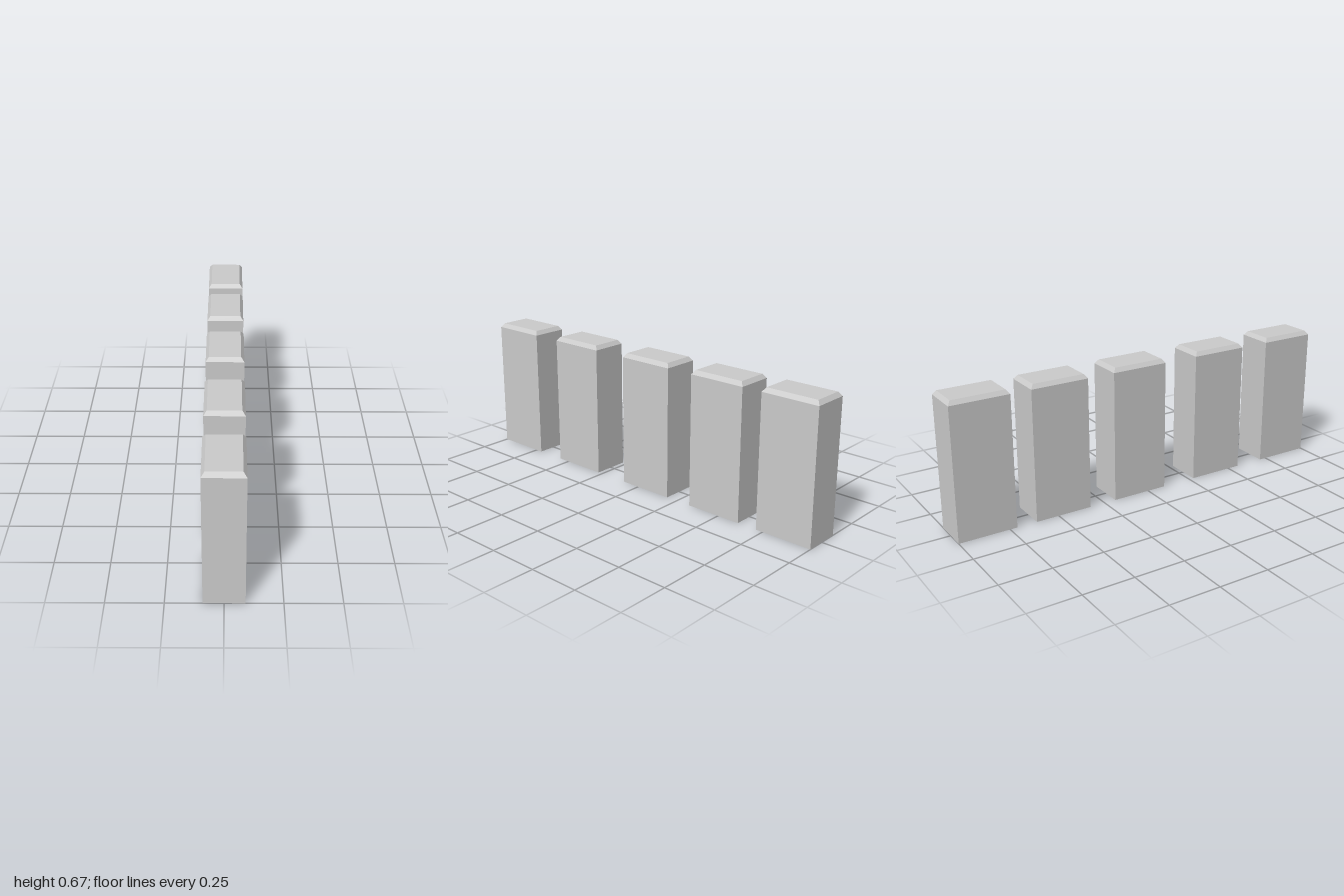
import * as THREE from 'three';

const WIDTH = 0.18, DEPTH = 0.286, EAVES = 0.646, TOP = 0.666, INSET = 0.015;
const ROWS = 12, ROW_STEP = 0.054, FIRST_ROW = 0.022;
const TOWER_Z = [0.857, 0.418, -0.047, -0.471, -0.857];

// Closed block whose upper ring is drawn in to form the chamfered roof
function shellGeometry() {
  const box = new THREE.BoxGeometry(WIDTH, 2, DEPTH, 1, 2, 1);
  const p = box.attributes.position;
  for (let i = 0; i < p.count; i++) {
    const level = Math.round(p.getY(i)) + 1; // 0 ground, 1 eaves, 2 roof
    p.setY(i, [0, EAVES, TOP][level]);
    if (level === 2) {
      p.setX(i, p.getX(i) - Math.sign(p.getX(i)) * INSET);
      p.setZ(i, p.getZ(i) - Math.sign(p.getZ(i)) * INSET);
    }
  }
  const flat = box.toNonIndexed();
  flat.computeVertexNormals();
  return flat;
}

export function createModel() {
  const model = new THREE.Group();
  model.name = 'towerRow';

  const wall = new THREE.MeshStandardMaterial({ color: 0xcccccc, flatShading: true });
  const glass = new THREE.MeshStandardMaterial({ color: 0xbcbcbc });
  const shell = shellGeometry();
  const pane = new THREE.PlaneGeometry(0.101, 0.027).rotateY(Math.PI / 2);

  TOWER_Z.forEach((z, n) => {
    const tower = new THREE.Group();
    tower.name = `tower${n + 1}`;
    tower.position.z = z;

    const block = new THREE.Mesh(shell, wall);
    block.name = 'towerBlock';
    tower.add(block);

    // Two columns of window strips on the +x face only
    const windows = new THREE.Group();
    windows.name = 'windows';
    for (let row = 0; row < ROWS; row++) {
      for (const side of [-1, 1]) {
        const win = new THREE.Mesh(pane, glass);
        win.name = 'windowStrip';
        win.position.set(WIDTH / 2 + 0.001, FIRST_ROW + row * ROW_STEP, side * 0.057);
        windows.add(win);
      }
    }
    tower.add(windows);
    model.add(tower);
  });

  return model;
}
